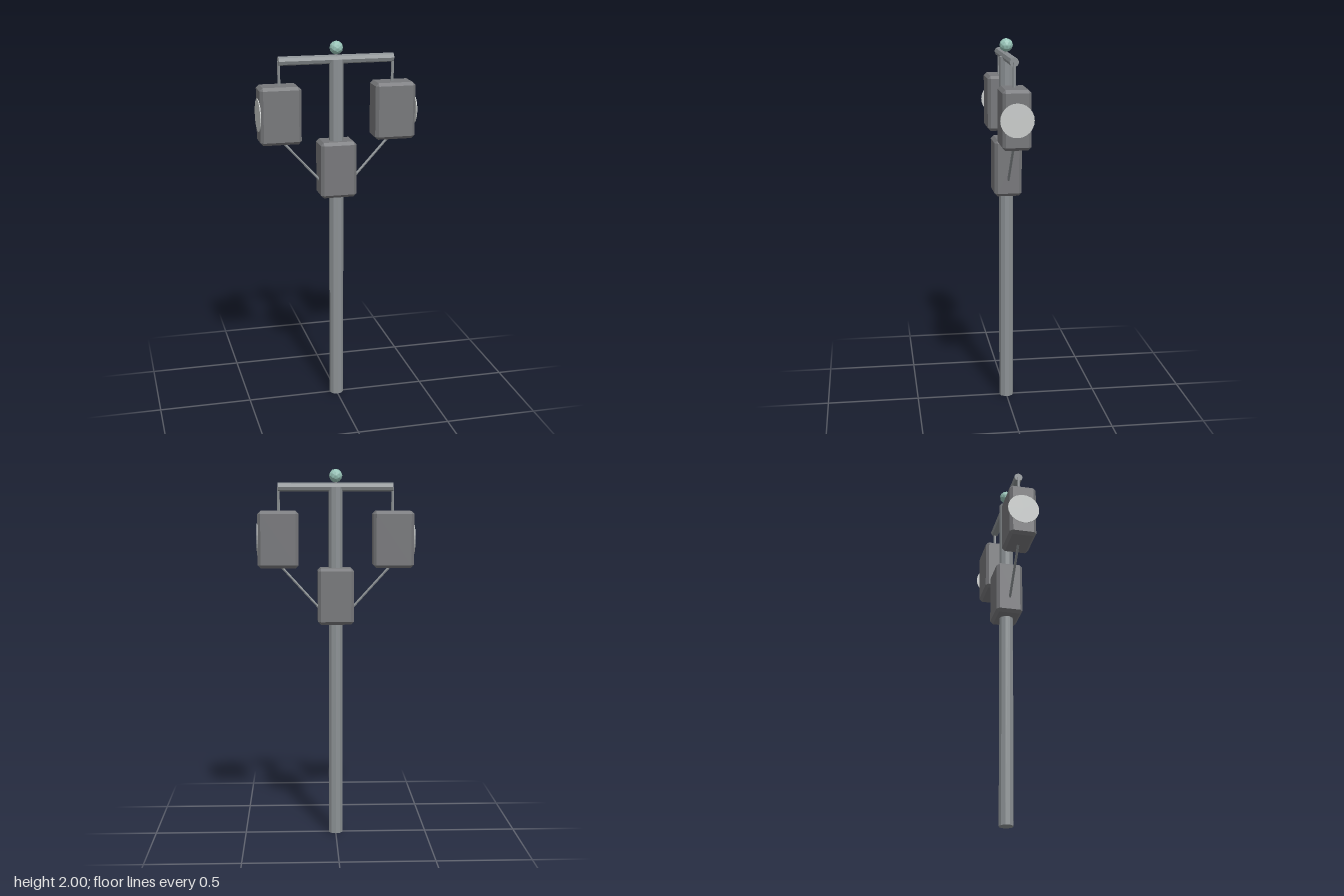
import * as THREE from 'three';
import { ConvexGeometry } from 'three/addons/geometries/ConvexGeometry.js';

const mat = (name, color, side = THREE.FrontSide) => {
  const m = new THREE.MeshStandardMaterial({ color, flatShading: true, side });
  m.name = name;
  return m;
};

// Box with every edge cut at 45 degrees
function chamferedBox(w, h, d, c) {
  const points = [];
  for (const x of [-1, 1]) for (const y of [-1, 1]) for (const z of [-1, 1]) {
    for (let axis = 0; axis < 3; axis++) {
      const inset = [c, c, c];
      inset[axis] = 0;
      points.push(new THREE.Vector3(
        x * (w / 2 - inset[0]), y * (h / 2 - inset[1]), z * (d / 2 - inset[2])));
    }
  }
  return new ConvexGeometry(points);
}

export function createModel() {
  const model = new THREE.Group();
  model.name = 'poleWithCabinets';
  const poleMetal = mat('poleMetal', 0x8c9194);
  const cabinetGrey = mat('cabinetGrey', 0x77787b);
  const discGrey = mat('discLightGrey', 0xc9cccb);
  const ballGreen = mat('ballPaleGreen', 0x98c4b8);

  const add = (name, geometry, material, x = 0, y = 0, z = 0) => {
    const mesh = new THREE.Mesh(geometry, material);
    mesh.name = name;
    mesh.position.set(x, y, z);
    model.add(mesh);
    return mesh;
  };

  // Straight rod between two points
  const rod = (name, a, b, radius, sides, material) => {
    const from = new THREE.Vector3(...a), to = new THREE.Vector3(...b);
    const dir = to.clone().sub(from);
    const mesh = add(name, new THREE.CylinderGeometry(radius, radius, dir.length(), sides), material);
    mesh.position.copy(from).add(to).multiplyScalar(0.5);
    mesh.quaternion.setFromUnitVectors(new THREE.Vector3(0, 1, 0), dir.normalize());
    return mesh;
  };

  // Pole, crossbar and the ball on top
  rod('pole', [0, 0, 0], [0, 1.905, 0], 0.039, 10, poleMetal);
  rod('crossbar', [-0.308, 1.905, 0], [0.308, 1.905, 0], 0.024, 8, poleMetal);
  rod('ballStem', [0, 1.9, 0], [0, 1.95, 0], 0.008, 6, poleMetal);
  add('ball', new THREE.IcosahedronGeometry(0.036, 1), ballGreen, 0, 1.965, 0);

  // Middle cabinet wrapped around the pole
  add('middleCabinet', chamferedBox(0.194, 0.303, 0.146, 0.016), cabinetGrey, 0, 1.324, 0);

  // Hanging cabinets with hanger, brace and outer disc
  for (const [side, s] of [['left', 1], ['right', -1]]) {
    add(side + 'Cabinet', chamferedBox(0.218, 0.303, 0.146, 0.016), cabinetGrey, s * 0.308, 1.628, 0);
    rod(side + 'Hanger', [s * 0.305, 1.76, 0], [s * 0.305, 1.905, 0], 0.008, 6, poleMetal);
    rod(side + 'Brace', [s * 0.3, 1.49, 0], [s * 0.085, 1.254, 0], 0.007, 6, poleMetal);
    const disc = add(side + 'Disc', new THREE.CylinderGeometry(0.086, 0.086, 0.005, 24),
      discGrey, s * 0.4185, 1.629, 0);
    disc.rotation.z = Math.PI / 2;
  }
  return model;
}
